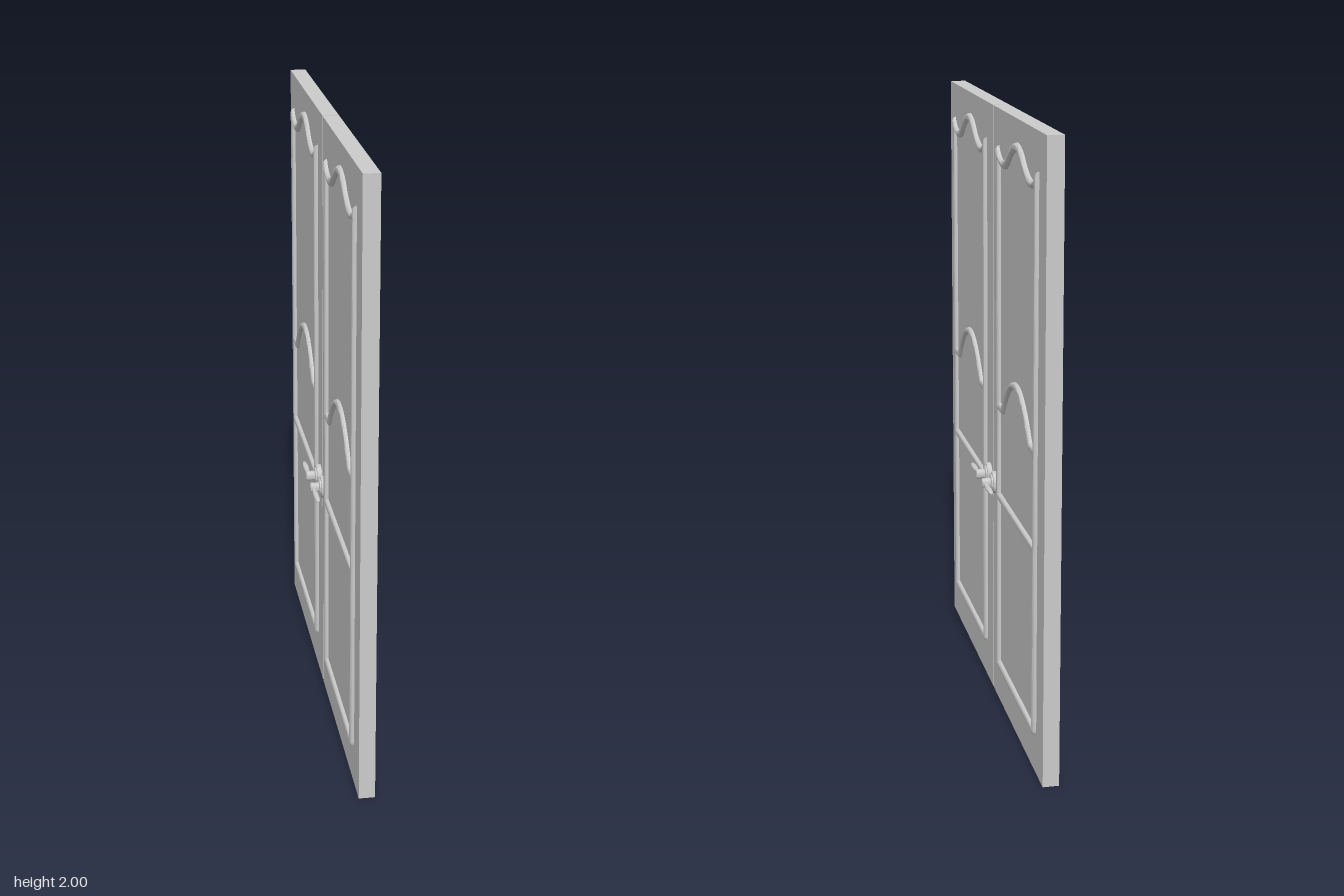
import * as THREE from 'three';
import { toCreasedNormals } from 'three/addons/utils/BufferGeometryUtils.js';

const material = new THREE.MeshStandardMaterial({ color: 0xcccccc });
const WIDTH = 0.756, HEIGHT = 2, HALF = 0.026, GAP = 0.004;
const CENTRE = GAP + WIDTH / 2;

function part(name, geometry, parent) {
  const mesh = new THREE.Mesh(geometry, material);
  mesh.name = name;
  parent.add(mesh);
  return mesh;
}

// Symmetric smooth curve from the left half of its points (the last lies on x = 0)
function symmetricCurve(half, steps = 36) {
  const left = half.map(([x, y]) => new THREE.Vector2(x, y));
  const right = left.slice(0, -1).reverse().map(p => new THREE.Vector2(-p.x, p.y));
  return new THREE.SplineCurve([...left, ...right]).getPoints(steps);
}

function rectangle(w, y0, y1) {
  return [[-w, y0], [w, y0], [w, y1], [-w, y1]].map(([x, y]) => new THREE.Vector2(x, y));
}

// Moulding: one outline with three panel openings, standing proud of both faces
function mouldingGeometry() {
  const outer = 0.284, inner = 0.257, r = 0.018;
  const crownOuter = symmetricCurve([[-outer, 1.885], [-0.25, 1.858], [-0.2, 1.849], [-0.13, 1.873], [-0.07, 1.913], [0, 1.93]]);
  const crownInner = symmetricCurve([[-inner, 1.837], [-0.19, 1.823], [-0.13, 1.842], [-0.065, 1.885], [0, 1.903]]);
  const archTop = symmetricCurve([[-0.21, 1.055], [-0.146, 1.122], [-0.075, 1.169], [0, 1.185]]);
  const archLow = symmetricCurve([[-0.2, 1.03], [-0.14, 1.098], [-0.072, 1.147], [0, 1.162]]);

  const shape = new THREE.Shape();
  shape.moveTo(-outer + r, 0.127);
  shape.lineTo(outer - r, 0.127);
  shape.quadraticCurveTo(outer, 0.127, outer, 0.127 + r);
  crownOuter.slice().reverse().forEach(p => shape.lineTo(p.x, p.y));
  shape.lineTo(-outer, 0.127 + r);
  shape.quadraticCurveTo(-outer, 0.127, -outer + r, 0.127);

  const upper = [new THREE.Vector2(-inner, 1.055), ...archTop, new THREE.Vector2(inner, 1.055), ...crownInner.slice().reverse()];
  const middle = [new THREE.Vector2(-inner, 0.747), new THREE.Vector2(inner, 0.747), new THREE.Vector2(inner, 1.03),
    ...archLow.slice().reverse(), new THREE.Vector2(-inner, 1.03)];
  for (const points of [upper, middle, rectangle(inner, 0.152, 0.72)]) shape.holes.push(new THREE.Path(points));

  const geometry = new THREE.ExtrudeGeometry(shape, {
    depth: 2 * HALF, curveSegments: 6,
    bevelEnabled: true, bevelThickness: 0.013, bevelSize: 0.01, bevelOffset: -0.01, bevelSegments: 3,
  });
  geometry.translate(0, 0, -HALF).rotateY(-Math.PI / 2);
  return toCreasedNormals(geometry, 0.7);
}

function lathe(points, segments) {
  const profile = points.map(([x, y]) => new THREE.Vector2(x, y));
  return toCreasedNormals(new THREE.LatheGeometry(profile, segments), 0.7);
}

// Handle for the +x face of the +z door; the lever points towards +z
function makeHandle(sx, sz) {
  const handle = new THREE.Group();
  handle.name = 'handle';

  const rosette = lathe([[0.037, 0], [0.037, 0.011], [0.034, 0.015], [0.027, 0.016], [0.027, 0.02], [0.024, 0.022], [0, 0.022]], 32);
  part('rosette', rosette.rotateZ(-Math.PI / 2).translate(HALF, 0, 0), handle);

  const spindle = lathe([[0.016, 0], [0.016, 0.046], [0.013, 0.05], [0, 0.05]], 24);
  part('spindle', spindle.rotateZ(-Math.PI / 2).translate(HALF, 0, 0), handle);

  const lever = lathe([[0, 0], [0.006, 0], [0.007, 0.03], [0.0095, 0.07], [0.0085, 0.095], [0.006, 0.115], [0.003, 0.121], [0, 0.122]], 20);
  lever.rotateX(Math.PI / 2).scale(1, 0.85, 1);
  part('lever', lever.translate(0.066, 0, 0), handle);

  handle.rotation.set(sz < 0 ? Math.PI : 0, 0, sx < 0 ? Math.PI : 0);
  handle.position.set(0, 0.76, sz * 0.05);
  return handle;
}

export function createModel() {
  const model = new THREE.Group();
  model.name = 'doubleDoor';
  const moulding = mouldingGeometry();

  for (const side of [1, -1]) {
    const door = new THREE.Group();
    door.name = side > 0 ? 'leftDoor' : 'rightDoor';
    part('slab', new THREE.BoxGeometry(2 * HALF, HEIGHT, WIDTH), door).position.set(0, HEIGHT / 2, side * CENTRE);
    part('moulding', moulding, door).position.z = side * CENTRE;
    for (const face of [1, -1]) door.add(makeHandle(face, side));
    model.add(door);
  }
  return model;
}
